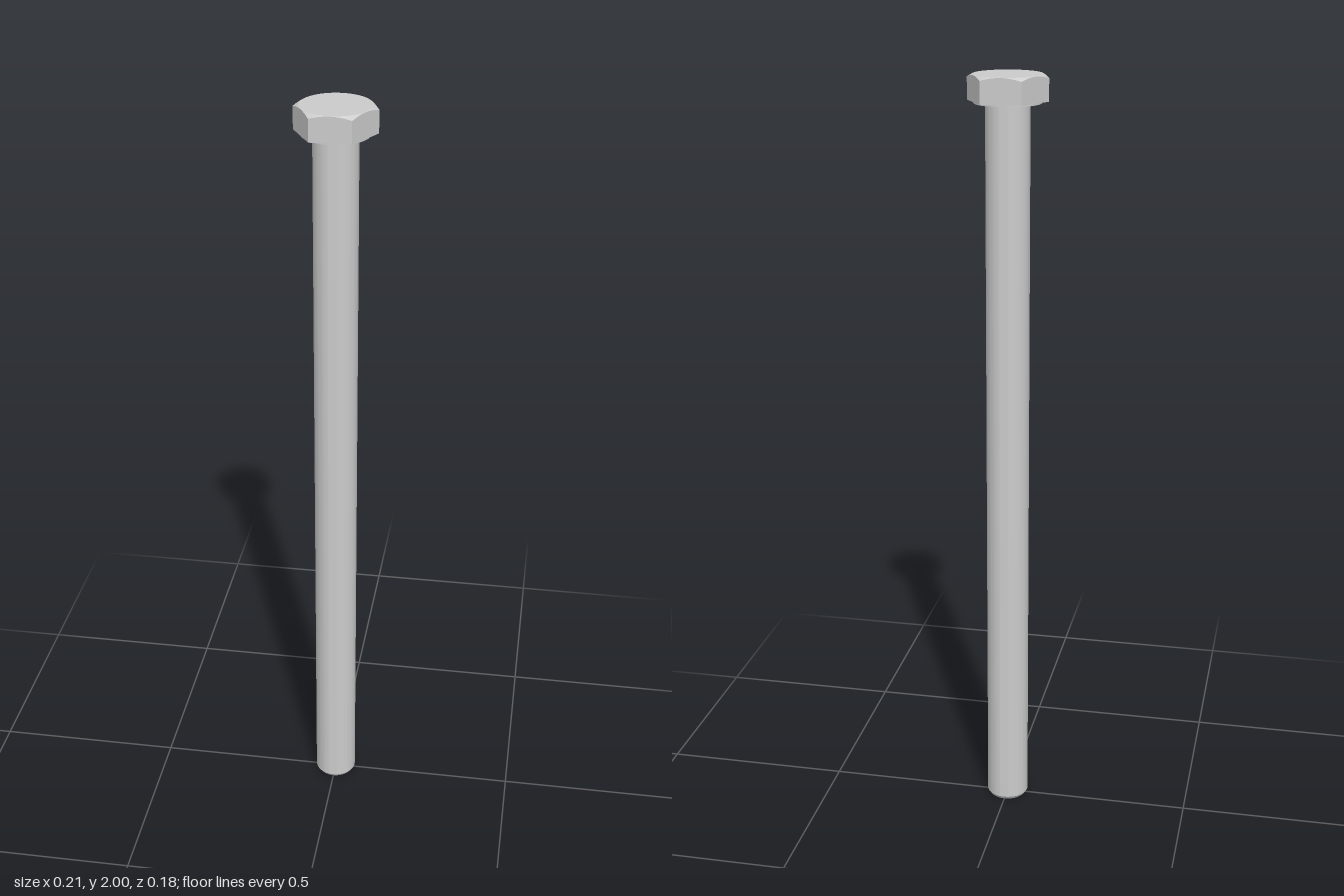
import * as THREE from 'three';
import { toCreasedNormals } from 'three/addons/utils/BufferGeometryUtils.js';

const SEGMENTS = 72;
const APOTHEM = 0.089;      // half the width across the flats
const TOP_RADIUS = 0.088;   // flat disc on top of the head
const CREASE = 0.35;

const lathe = (profile) =>
  new THREE.LatheGeometry(profile.map(([r, y]) => new THREE.Vector2(r, y)), SEGMENTS);

// Turned blank whose outer rings are pushed out to a hexagon; the top edge
// follows a 30 degree cone, giving the curved chamfer on each flat.
function headGeometry(bottom, top) {
  const geometry = lathe([[0, bottom], [1, bottom], [1, top], [TOP_RADIUS, top], [0, top]]);
  const pos = geometry.attributes.position;
  const step = Math.PI / 3;
  for (let i = 0; i < pos.count; i++) {
    const x = pos.getX(i), y = pos.getY(i), z = pos.getZ(i);
    if (Math.hypot(x, z) < 0.5) continue;
    const angle = Math.atan2(x, z);
    const radius = APOTHEM / Math.cos(angle - Math.round(angle / step) * step);
    const drop = y > (bottom + top) / 2 ? (radius - TOP_RADIUS) * Math.tan(Math.PI / 6) : 0;
    pos.setXYZ(i, x * radius, y - drop, z * radius);
  }
  return geometry;
}

export function createModel() {
  const group = new THREE.Group();
  group.name = 'hexBolt';
  const material = new THREE.MeshStandardMaterial({ color: 0xcccccc });

  const add = (name, geometry) => {
    const mesh = new THREE.Mesh(toCreasedNormals(geometry, CREASE), material);
    mesh.name = name;
    group.add(mesh);
  };

  // Hexagonal head
  add('head', headGeometry(1.935, 2));

  // Thin round bearing face under the head
  add('bearingFace', lathe([[0.05, 1.93], [0.085, 1.93], [0.085, 1.936]]));

  // Plain shank with a chamfered tip
  add('shank', lathe([[0, 0], [0.049, 0], [0.056, 0.01], [0.056, 1.932]]));

  return group;
}
